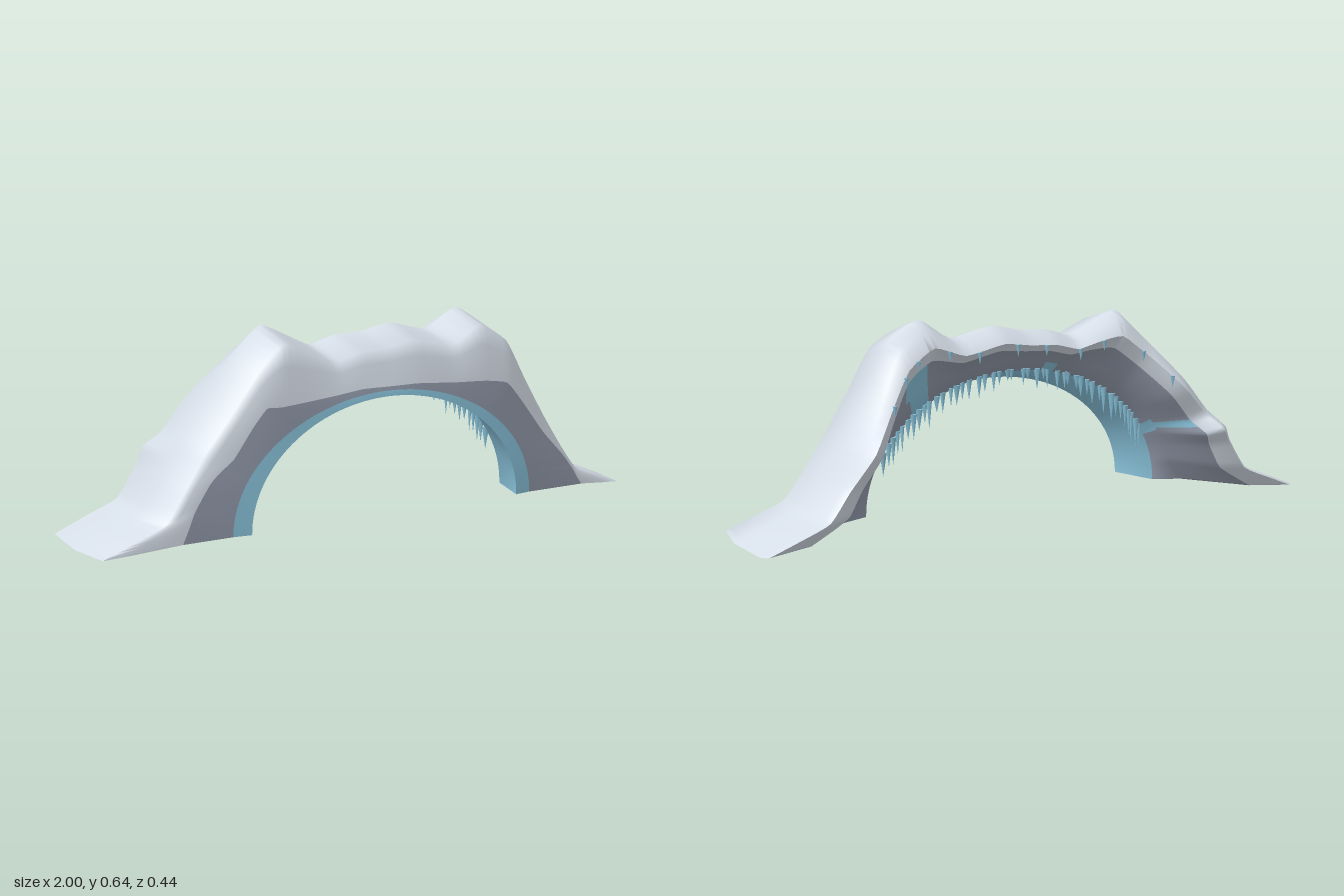
import * as THREE from 'three';
import { toCreasedNormals } from 'three/addons/utils/BufferGeometryUtils.js';

const mat = (name, color) => {
  const m = new THREE.MeshStandardMaterial({ color });
  m.name = name;
  return m;
};

// Stations along the arch: outer x, outer y, back rim z, opening angle, snow edge x, snow edge y
const STATIONS = [
  [-1, 0, -0.19, 180, -0.72, 0.015],
  [-0.9, 0.04, -0.195, 176, -0.7, 0.06],
  [-0.79, 0.085, -0.193, 170, -0.68, 0.11],
  [-0.72, 0.19, -0.2, 162, -0.63, 0.19],
  [-0.685, 0.245, -0.222, 158, -0.595, 0.225],
  [-0.65, 0.3, -0.16, 154, -0.55, 0.26],
  [-0.56, 0.415, -0.155, 144, -0.49, 0.345],
  [-0.46, 0.55, -0.08, 134, -0.44, 0.405],
  [-0.37, 0.635, -0.055, 124, -0.39, 0.405],
  [-0.28, 0.6, -0.05, 114, -0.28, 0.415],
  [-0.19, 0.56, -0.05, 106, -0.18, 0.425],
  [-0.1, 0.585, -0.05, 98, -0.1, 0.435],
  [0, 0.59, -0.05, 90, 0, 0.435],
  [0.11, 0.61, -0.055, 81, 0.11, 0.435],
  [0.26, 0.58, -0.06, 68, 0.25, 0.425],
  [0.37, 0.645, -0.05, 56, 0.37, 0.42],
  [0.48, 0.58, -0.075, 46, 0.46, 0.405],
  [0.56, 0.44, -0.125, 37, 0.53, 0.33],
  [0.65, 0.29, -0.192, 26, 0.62, 0.22],
  [0.73, 0.17, -0.178, 16, 0.71, 0.13],
  [0.8, 0.08, -0.193, 9, 0.76, 0.07],
  [0.9, 0.04, -0.195, 4, 0.78, 0.04],
  [1, 0, -0.19, 0, 0.8, 0.015],
];
const curveOf = (a) => new THREE.CatmullRomCurve3(
  STATIONS.map((s) => new THREE.Vector3(s[a], s[a + 1], s[a + 2])), false, 'catmullrom', 0.25);
const outerCurve = curveOf(0);
const innerCurve = curveOf(3);

const ellipse = (deg, rx, ry, z) => {
  const t = THREE.MathUtils.degToRad(deg);
  return new THREE.Vector3(rx * Math.cos(t), 0.02 + ry * Math.sin(t), z);
};
const lipPoint = (deg) => ellipse(deg, 0.55, 0.43, 0.055);

// Closed cross-section of the arch at u, from the front opening over the top to the back lip
function section(u) {
  const o = outerCurve.getPoint(u), g = innerCurve.getPoint(u);
  const rim = o.z, deg = g.x, h = Math.min(1, Math.max(0, o.y / 0.6));
  const lip = lipPoint(deg);
  const V = (x, y, z) => new THREE.Vector3(x, Math.max(0, y), z);
  const toLip = (f, z) => V(o.x + (lip.x - o.x) * f, o.y + (lip.y - o.y) * f, z);
  const front = V(o.x * (0.972 + 0.013 * h), o.y * 0.935, 0.185);
  const snowEdge = V(g.y, g.z, 0.196 + 0.018 * h);
  const fRim = 0.07 + 0.24 * h;
  return [
    ellipse(deg, 0.5, 0.385, 0.22),
    ellipse(deg, 0.56, 0.403, 0.212 + 0.006 * h),
    snowEdge,
    snowEdge.clone().lerp(front, 0.65).setZ(0.192 + 0.01 * h),
    front,
    V(o.x, o.y, 0.03),
    toLip(0.025 + 0.075 * h, rim + 0.02 + 0.012 * h),
    toLip(fRim, rim),
    toLip(0.4 + 0.08 * h, rim + 0.04),
    toLip(0.77, 0.028),
    lip,
  ];
}

function archGeometry() {
  const N = 88, M = 11;
  const SNOW = 0, ROCK = 1, ICE = 2;
  const bandMat = [ICE, ROCK, SNOW, SNOW, SNOW, SNOW, SNOW, SNOW, ROCK, ROCK, ICE];
  // ice pockets in the back wall: band, first and last step
  const pockets = [[8, 61, 65], [9, 61, 64], [8, 18, 20], [9, 17, 21], [9, 41, 43]];
  const pos = [], lists = [[], [], []];
  for (let i = 0; i <= N; i++) section(i / N).forEach((p) => pos.push(p.x, p.y, p.z));
  for (let i = 0; i < N; i++) {
    for (let j = 0; j < M; j++) {
      const k = (j + 1) % M;
      const a = i * M + j, b = a + M, c = i * M + k, d = c + M;
      const pocket = pockets.some(([band, from, to]) => j === band && i >= from && i < to);
      lists[pocket ? ICE : bandMat[j]].push(a, b, c, b, d, c);
    }
  }
  // undersides of the two feet: rock near the opening, snow outside
  for (let j = 0; j < 5; j++) {
    const list = lists[j < 2 ? ROCK : SNOW];
    const f0 = j, f1 = j + 1, b0 = 10 - j, b1 = 9 - j, e = N * M;
    list.push(f0, f1, b0, e + f0, e + b0, e + f1);
    if (j < 4) list.push(f1, b1, b0, e + f1, e + b0, e + b1);
  }
  const geo = new THREE.BufferGeometry();
  geo.setAttribute('position', new THREE.Float32BufferAttribute(pos, 3));
  geo.setIndex(lists.flat());
  let start = 0;
  lists.forEach((l, m) => { geo.addGroup(start, l.length, m); start += l.length; });
  return toCreasedNormals(geo, 1.2);
}

export function createModel() {
  const model = new THREE.Group();
  model.name = 'snowArch';
  const snow = mat('snow', 0xd5dde7);
  const rock = mat('rock', 0x9199a9);
  const ice = mat('ice', 0x8ac4dc);

  const arch = new THREE.Mesh(archGeometry(), [snow, rock, ice]);
  arch.name = 'archBody';
  model.add(arch);

  let seed = 7;
  const rand = () => (seed = (seed * 16807) % 2147483647) / 2147483647;

  // Icicle: a five-sided cone hanging from its base
  const cone = new THREE.ConeGeometry(1, 1, 5);
  cone.rotateX(Math.PI);
  cone.translate(0, -0.5, 0);
  const hang = (parent, p, r, len) => {
    const m = new THREE.Mesh(cone, ice);
    m.name = 'icicle';
    m.position.copy(p);
    m.scale.set(r, len, r);
    m.rotation.y = rand() * 6;
    parent.add(m);
  };

  // Icicles along the back lip of the opening, longer towards the sides
  const lipIcicles = new THREE.Group();
  lipIcicles.name = 'lipIcicles';
  const count = 44;
  for (let i = 0; i < count; i++) {
    const deg = 27 + (127 * (i + 0.7 * rand())) / count;
    const p = lipPoint(deg);
    p.y += 0.008;
    p.z -= 0.004;
    const side = Math.abs(Math.cos(THREE.MathUtils.degToRad(deg)));
    hang(lipIcicles, p, 0.008 + 0.005 * rand(), 0.03 + 0.04 * side + 0.04 * rand());
  }
  model.add(lipIcicles);

  // Small icicles under the back snow rim
  const rimIcicles = new THREE.Group();
  rimIcicles.name = 'rimIcicles';
  for (const u of [0.29, 0.33, 0.4, 0.45, 0.52, 0.57, 0.62, 0.66, 0.71, 0.74, 0.77]) {
    const p = section(u)[7];
    p.z -= 0.003;
    hang(rimIcicles, p, 0.008, 0.028 + 0.015 * rand());
  }
  model.add(rimIcicles);

  return model;
}
